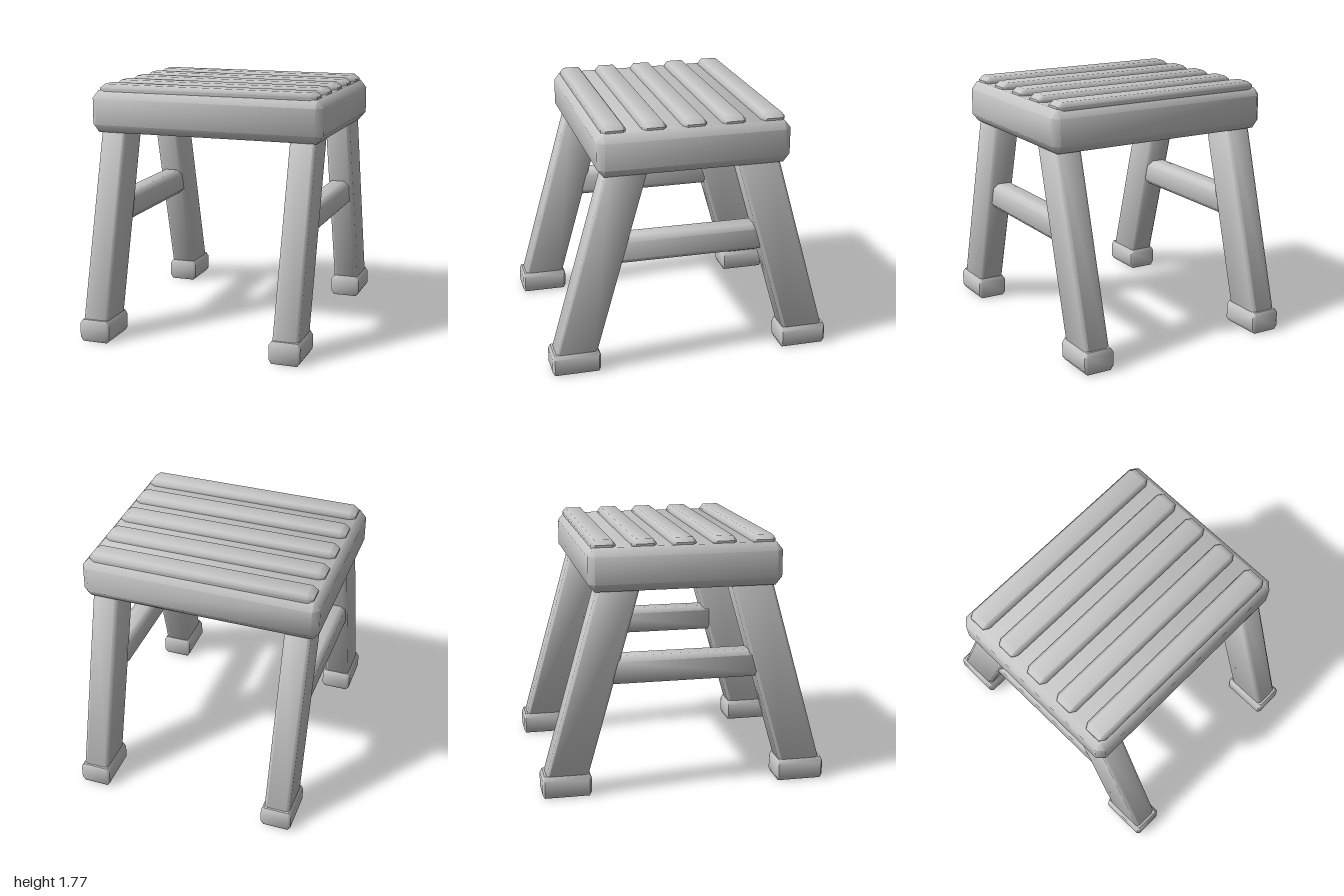
import * as THREE from 'three';
import { ConvexGeometry } from 'three/addons/geometries/ConvexGeometry.js';
import { toCreasedNormals } from 'three/addons/utils/BufferGeometryUtils.js';

const grey = new THREE.MeshStandardMaterial({ color: 0xc8c8c8 });
grey.name = 'light grey';

// Box with chamfered edges, min/max corners and a chamfer per axis; lean shears z along y.
function chamferBox(name, min, max, chamfer, lean = 0) {
  const c = min.map((v, i) => (v + max[i]) / 2);
  const h = min.map((v, i) => (max[i] - v) / 2);
  const points = [];
  for (const sx of [-1, 1]) for (const sy of [-1, 1]) for (const sz of [-1, 1]) {
    const s = [sx, sy, sz];
    for (let full = 0; full < 3; full++) {
      const p = h.map((v, i) => s[i] * (i === full ? v : v - chamfer[i]));
      points.push(new THREE.Vector3(p[0], p[1], p[2] + lean * p[1]));
    }
  }
  const mesh = new THREE.Mesh(toCreasedNormals(new ConvexGeometry(points), 0.9), grey);
  mesh.name = name;
  mesh.position.set(...c);
  return mesh;
}

export function createModel() {
  const model = new THREE.Group();
  model.name = 'stool';

  // Seat block with five raised slats
  model.add(chamferBox('seat', [-0.84, 1.43, -0.67], [0.84, 1.725, 0.66], [0.045, 0.055, 0.045]));
  [-0.558, -0.283, -0.012, 0.265, 0.538].forEach((z, i) => {
    model.add(chamferBox('slat' + (i + 1), [-0.79, 1.69, z - 0.083], [0.79, 1.77, z + 0.083],
      [0.04, 0.03, 0.025]));
  });

  for (const [side, x] of [['right', -0.688], ['left', 0.697]]) {
    // Splayed legs and their feet
    for (const [end, s] of [['Front', 1], ['Back', -1]]) {
      const z = s * 0.645;
      model.add(chamferBox(side + end + 'Leg', [x - 0.092, 0.08, z - 0.147], [x + 0.092, 1.5, z + 0.147],
        [0.022, 0.02, 0.02], -s * 0.283));
      model.add(chamferBox(side + end + 'Foot', [x - 0.11, 0, s * 0.83 - 0.17], [x + 0.11, 0.158, s * 0.83 + 0.17],
        [0.02, 0.03, 0.015]));
    }
    // Rail joining the front and back legs
    const inner = x > 0 ? -0.1 : -0.082;
    model.add(chamferBox(side + 'Rail', [x + inner, 0.775, -0.53], [x + inner + 0.165, 0.97, 0.53],
      [0.035, 0.035, 0.03]));
  }
  return model;
}
